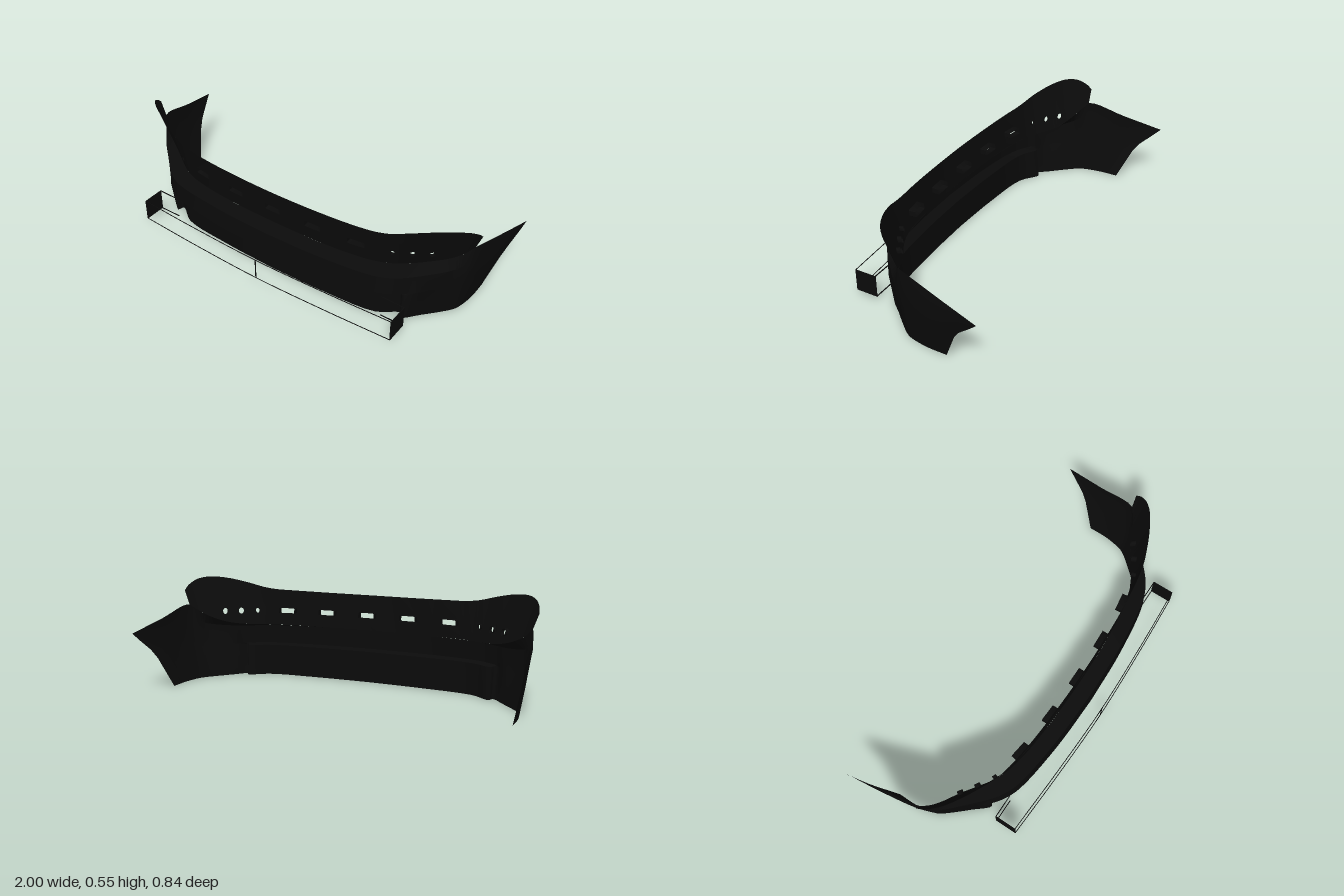
import * as THREE from 'three';
import { mergeVertices, toCreasedNormals } from 'three/addons/utils/BufferGeometryUtils.js';

const black = new THREE.MeshStandardMaterial({ color: 0x0b0b0b, side: THREE.DoubleSide });

// smooth interpolation through a table of [x, value], mirrored about x = 0
function curve(table, x) {
  x = Math.min(Math.abs(x), table[table.length - 1][0]);
  let i = 0;
  while (i < table.length - 2 && x > table[i + 1][0]) i++;
  const slope = k => {
    if (k === 0) return 0;
    const a = table[k - 1], b = table[Math.min(k + 1, table.length - 1)];
    return (b[1] - a[1]) / (b[0] - a[0]);
  };
  const [x0, y0] = table[i], [x1, y1] = table[i + 1];
  const h = x1 - x0, t = (x - x0) / h, t2 = t * t, t3 = t2 * t;
  return y0 * (2 * t3 - 3 * t2 + 1) + y1 * (3 * t2 - 2 * t3)
    + h * (slope(i) * (t3 - 2 * t2 + t) + slope(i + 1) * (t3 - t2));
}

// plan line, lower edge, upper edge and outward flare of the upper band
const END = 0.922;
const plan = [[0, 0.277], [0.3, 0.268], [0.5, 0.247], [0.62, 0.215], [0.71, 0.165], [0.785, 0.115], [0.86, 0.065], [0.9, 0.03], [END, 0]];
const waist = [[0, 0.285], [0.6, 0.287], [0.72, 0.294], [0.8, 0.312], [0.86, 0.338], [0.9, 0.372], [END, 0.405]];
const crown = [[0, 0.472], [0.5, 0.477], [0.6, 0.488], [0.69, 0.516], [0.76, 0.537], [0.82, 0.546], [0.87, 0.536], [0.905, 0.508], [END, 0.48]];
const flare = [[0, 0.012], [0.5, 0.018], [0.7, 0.045], [0.82, 0.06], [END, 0.062]];

function bandPoint(s, y, inward = 0) {
  const angle = Math.PI / 2 * Math.pow(Math.abs(s) / END, 4);
  const out = curve(flare, s) * (y - 0.37) / 0.17 - inward;
  return new THREE.Vector3(s + Math.sign(s) * Math.sin(angle) * out, y, curve(plan, s) + Math.cos(angle) * out);
}

// grid surface through rows of points
function loft(rows) {
  const n = rows[0].length, index = [];
  for (let r = 0; r < rows.length - 1; r++) {
    for (let c = 0; c < n - 1; c++) {
      const a = r * n + c, b = a + n;
      index.push(a, b, a + 1, a + 1, b, b + 1);
    }
  }
  const g = new THREE.BufferGeometry().setFromPoints(rows.flat());
  g.setIndex(index);
  return g;
}

function add(group, name, geometry) {
  const mesh = new THREE.Mesh(geometry, black);
  mesh.name = name;
  group.add(mesh);
  return mesh;
}

function ovalPoints(cx, w, h, square) {
  if (square) {
    return [[-1, -0.8], [-0.9, -1], [0.9, -1], [1, -0.8], [1, 0.8], [0.9, 1], [-0.9, 1], [-1, 0.8]]
      .map(([x, y]) => new THREE.Vector2(cx + x * w, 0.367 + y * h));
  }
  return Array.from({ length: 16 }, (_, i) => {
    const a = i / 16 * Math.PI * 2;
    return new THREE.Vector2(cx + Math.cos(a) * w, 0.363 + Math.sin(a) * h);
  });
}

// upper band, sliced so that every slot or round hole sits in its own slice
function addBand(group) {
  const band = new THREE.Group();
  band.name = 'upperBand';
  group.add(band);
  const half = [0.07, 0.16, 0.3, 0.39, 0.53, 0.59, 0.655, 0.75, 0.82, 0.85, 0.875, 0.895, 0.91, END];
  const breaks = [...half.slice().reverse().map(v => -v), ...half];
  const holes = [];
  for (const x of [-0.46, -0.23, 0, 0.23, 0.46]) holes.push({ x, pts: ovalPoints(x, 0.044, 0.016, true), depth: 0.035 });
  for (const side of [-1, 1]) {
    for (const [x, r] of [[0.63, 0.012], [0.71, 0.015], [0.785, 0.015]]) {
      holes.push({ x: side * x, pts: ovalPoints(side * x, r * 0.85, r * 1.15, false), depth: 0.018 });
    }
  }
  const N = 5;
  for (let i = 0; i < breaks.length - 1; i++) {
    const a = breaks[i], b = breaks[i + 1], outline = [];
    for (let k = 0; k <= N; k++) {
      const s = a + (b - a) * k / N;
      outline.push(new THREE.Vector2(s, curve(waist, s)));
    }
    for (let k = N; k >= 0; k--) {
      const s = a + (b - a) * k / N;
      outline.push(new THREE.Vector2(s, curve(crown, s)));
    }
    const shape = new THREE.Shape(outline);
    for (const h of holes) if (h.x > a && h.x < b) shape.holes.push(new THREE.Path(h.pts));
    let g = new THREE.ShapeGeometry(shape);
    const p = g.attributes.position;
    for (let k = 0; k < p.count; k++) {
      const v = bandPoint(p.getX(k), p.getY(k));
      p.setXYZ(k, v.x, v.y, v.z);
    }
    g.deleteAttribute('uv');
    g.deleteAttribute('normal');
    g = mergeVertices(g);
    g.computeVertexNormals();
    add(band, 'bandSlice', g);
  }
  // short sleeves behind the holes
  for (const h of holes) {
    const ring = [...h.pts, h.pts[0]];
    const rows = [0, h.depth].map(d => ring.map(q => bandPoint(q.x, q.y, d)));
    add(band, 'holeSleeve', toCreasedNormals(loft(rows), 0.7));
  }
}

// lower body: rows run from the centre round the corner to the rear edge
function addBody(group) {
  const stations = [0, 0.3, 0.58, 0.66, 0.71, 0.785, 0.86, 0.9, END];
  const waistRow = stations.map(s => bandPoint(s, curve(waist, s)).toArray());
  waistRow.push([0.968, 0.357, -0.21], [1, 0.31, -0.42]);
  const rows = [
    waistRow,
    [[0, 0.27, 0.35], [0.3, 0.27, 0.338], [0.58, 0.268, 0.3], [0.66, 0.267, 0.266], [0.71, 0.268, 0.23], [0.79, 0.275, 0.158], [0.875, 0.292, 0.08], [0.912, 0.31, 0.035], [0.937, 0.325, 0], [0.972, 0.31, -0.2], [0.99, 0.275, -0.385]],
    [[0, 0.17, 0.355], [0.3, 0.17, 0.343], [0.58, 0.17, 0.304], [0.66, 0.17, 0.269], [0.71, 0.17, 0.232], [0.79, 0.175, 0.155], [0.865, 0.185, 0.075], [0.897, 0.19, 0.035], [0.917, 0.195, 0], [0.95, 0.2, -0.17], [0.968, 0.21, -0.315]],
    [[0, 0.165, 0.29], [0.3, 0.165, 0.28], [0.58, 0.165, 0.25], [0.685, 0.165, 0.2], [0.708, 0.165, 0.231], [0.785, 0.165, 0.154], [0.86, 0.165, 0.074], [0.892, 0.165, 0.034], [0.912, 0.165, 0], [0.942, 0.16, -0.15], [0.952, 0.16, -0.28]],
    [[0, 0, 0.29], [0.3, 0, 0.28], [0.58, 0, 0.25], [0.685, 0, 0.185], [0.7, 0, 0.215], [0.77, 0, 0.142], [0.835, 0, 0.07], [0.866, 0, 0.032], [0.885, 0, 0], [0.905, 0, -0.1], [0.907, 0, -0.208]],
  ];
  const M = 50;
  const full = rows.map(row => {
    const path = new THREE.CatmullRomCurve3(row.map(p => new THREE.Vector3(...p)));
    const pts = [];
    for (let i = -M; i <= M; i++) {
      const v = path.getPoint(Math.abs(i) / M);
      if (i < 0) v.x = -v.x;
      pts.push(v);
    }
    return pts;
  });
  add(group, 'lowerBody', toCreasedNormals(loft(full), 0.6));
}

// thin bowed frame ahead of the recess, closed by a plate at each end
function addFrame(group) {
  const frame = new THREE.Group();
  frame.name = 'frontFrame';
  group.add(frame);
  const T = 0.004, low = 0.031, high = 0.145;
  for (const side of [-1, 1]) {
    const plate = add(frame, 'endPlate', new THREE.BoxGeometry(T, high - low, 0.115));
    plate.position.set(side * 0.75, (low + high) / 2, 0.336);
    for (const y of [low, high]) {
      const stub = add(frame, 'rearRail', new THREE.BoxGeometry(0.12, T, T));
      stub.position.set(side * 0.69, y, 0.281);
    }
  }
  for (const y of [low, high]) {
    const bow = new THREE.CatmullRomCurve3([[-0.75, 0.392], [-0.4, 0.41], [0, 0.421], [0.4, 0.41], [0.75, 0.392]]
      .map(([x, z]) => new THREE.Vector3(x, y, z)));
    add(frame, 'bowedRail', new THREE.TubeGeometry(bow, 32, T / 2, 6));
  }
  const post = add(frame, 'centrePost', new THREE.BoxGeometry(T, high - low, T));
  post.position.set(0, (low + high) / 2, 0.421);
}

export function createModel() {
  const bumper = new THREE.Group();
  bumper.name = 'bumper';
  addBody(bumper);
  addBand(bumper);
  addFrame(bumper);
  return bumper;
}
